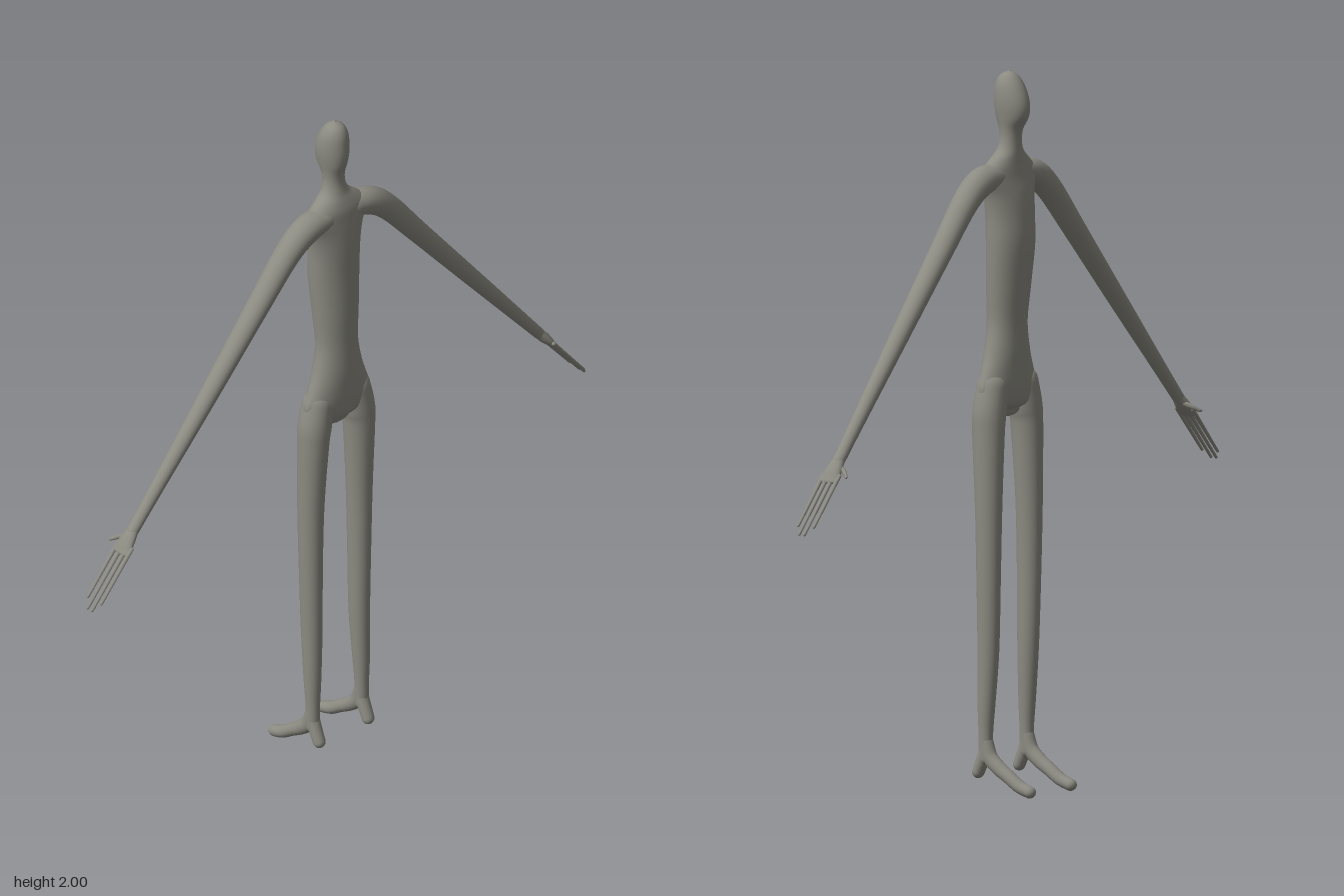
import * as THREE from 'three';

const skin = new THREE.MeshStandardMaterial({ color: 0x8c8b82 });
skin.name = 'greySkin';
const X = new THREE.Vector3(1, 0, 0), Z = new THREE.Vector3(0, 0, 1);

// Smooth tube through sections [x, y, z, ra, rb] with rounded ends.
// rb lies along the side axis, ra across it.
function loft(name, sections, side, steps = 6, sides = 24) {
  const path = new THREE.CatmullRomCurve3(sections.map(s => new THREE.Vector3(s[0], s[1], s[2])), false, 'catmullrom');
  const radii = new THREE.CatmullRomCurve3(sections.map(s => new THREE.Vector3(s[3], s[4], 0)), false, 'catmullrom');
  const pos = [], index = [];
  let rings = 0;
  const ring = (u, scale, shift) => {
    const t = path.getTangent(u), c = path.getPoint(u), r = radii.getPoint(u);
    c.addScaledVector(t, shift * Math.min(r.x, r.y));
    const a = new THREE.Vector3().crossVectors(side, t).normalize();
    for (let j = 0; j < sides; j++) {
      const w = j / sides * Math.PI * 2;
      const p = c.clone().addScaledVector(a, Math.cos(w) * r.x * scale).addScaledVector(side, Math.sin(w) * r.y * scale);
      pos.push(p.x, p.y, p.z);
    }
    rings++;
  };
  const cap = 5, n = (sections.length - 1) * steps;
  for (let k = cap; k > 0; k--) ring(0, Math.cos(k / cap * Math.PI / 2), -Math.sin(k / cap * Math.PI / 2));
  for (let i = 0; i <= n; i++) ring(i / n, 1, 0);
  for (let k = 1; k <= cap; k++) ring(1, Math.cos(k / cap * Math.PI / 2), Math.sin(k / cap * Math.PI / 2));
  for (let i = 0; i < rings - 1; i++) for (let j = 0; j < sides; j++) {
    const p = i * sides + j, q = i * sides + (j + 1) % sides;
    index.push(p, q, q + sides, p, q + sides, p + sides);
  }
  const g = new THREE.BufferGeometry();
  g.setAttribute('position', new THREE.Float32BufferAttribute(pos, 3));
  g.setIndex(index);
  g.computeVertexNormals();
  const mesh = new THREE.Mesh(g, skin);
  mesh.name = name;
  return mesh;
}

export function createModel() {
  const model = new THREE.Group();
  model.name = 'slenderFigure';

  // Pelvis, waist, chest, neck and head in one skin: [y, half width, z centre, half depth]
  const trunk = [
    [1.062, 0.05, 0.056, 0.022], [1.08, 0.098, 0.056, 0.04], [1.12, 0.118, 0.057, 0.047], [1.17, 0.101, 0.058, 0.049],
    [1.22, 0.083, 0.058, 0.05], [1.30, 0.067, 0.057, 0.049], [1.40, 0.072, 0.052, 0.055], [1.52, 0.08, 0.045, 0.06],
    [1.60, 0.083, 0.047, 0.058], [1.66, 0.092, 0.05, 0.053], [1.70, 0.108, 0.053, 0.047], [1.73, 0.105, 0.054, 0.043],
    [1.755, 0.076, 0.052, 0.038], [1.78, 0.044, 0.048, 0.033], [1.81, 0.033, 0.045, 0.03], [1.84, 0.033, 0.043, 0.034],
    [1.87, 0.038, 0.039, 0.048], [1.90, 0.042, 0.039, 0.053], [1.93, 0.0425, 0.042, 0.05], [1.96, 0.038, 0.047, 0.042],
    [1.982, 0.028, 0.05, 0.03], [1.993, 0.016, 0.05, 0.017], [1.998, 0.004, 0.05, 0.004],
  ];
  model.add(loft('torsoAndHead', trunk.map(([y, w, z, d]) => [0, y, z, w, d]), Z, 4, 36));

  for (const s of [1, -1]) {
    const label = s > 0 ? 'left' : 'right';

    // Arm, curving out of the shoulder
    const arm = new THREE.Group();
    arm.name = label + 'Arm';
    arm.add(loft('armLimb', [
      [0.05 * s, 1.715, 0.056, 0.035, 0.04], [0.12 * s, 1.70, 0.058, 0.04, 0.041], [0.19 * s, 1.65, 0.058, 0.036, 0.038],
      [0.30 * s, 1.527, 0.057, 0.031, 0.034], [0.50 * s, 1.301, 0.056, 0.025, 0.027], [0.68 * s, 1.098, 0.054, 0.019, 0.02],
      [0.765 * s, 1.002, 0.053, 0.016, 0.018],
    ], Z));

    // Palm, four fingers and thumb
    arm.add(loft('palm', [
      [0.76 * s, 1.008, 0.053, 0.014, 0.017], [0.785 * s, 0.98, 0.053, 0.015, 0.026], [0.808 * s, 0.953, 0.054, 0.008, 0.031],
    ], Z, 5, 20));
    [[0.027, 0.908], [0.046, 0.926], [0.064, 0.926], [0.081, 0.908]].forEach(([z, tip], i) => {
      const y = 0.953 - (tip - 0.808) * 1.14;
      arm.add(loft('finger' + (i + 1), [
        [0.795 * s, 0.968, z, 0.006, 0.007], [0.85 * s, 0.905, z, 0.005, 0.0055], [tip * s, y, z, 0.004, 0.004],
      ], Z, 4, 10));
    });
    arm.add(loft('thumb', [
      [0.77 * s, 0.99, 0.045, 0.008, 0.008], [0.781 * s, 0.978, 0.02, 0.007, 0.007], [0.796 * s, 0.967, 0.001, 0.005, 0.005],
    ], X, 4, 10));
    model.add(arm);

    // Leg
    const leg = new THREE.Group();
    leg.name = label + 'Leg';
    leg.add(loft('legLimb', [
      [0.068, 1.13, 0.056, 0.045, 0.043], [0.081, 1.06, 0.056, 0.048, 0.047], [0.0865, 1.0, 0.055, 0.0435, 0.046],
      [0.091, 0.8, 0.051, 0.036, 0.039], [0.091, 0.6, 0.051, 0.0315, 0.035], [0.0895, 0.4, 0.053, 0.0285, 0.031],
      [0.0915, 0.25, 0.058, 0.024, 0.025], [0.092, 0.17, 0.06, 0.02, 0.0205], [0.092, 0.1, 0.06, 0.019, 0.02],
    ].map(([x, ...rest]) => [x * s, ...rest]), Z));

    // Heel spur and the long foot sloping down to the toes
    leg.add(loft('heel', [
      [0.092 * s, 0.13, 0.058, 0.018, 0.019], [0.092 * s, 0.09, 0.073, 0.018, 0.019], [0.092 * s, 0.06, 0.086, 0.017, 0.018],
    ], X, 5, 20));
    leg.add(loft('foot', [
      [0.092 * s, 0.15, 0.058, 0.018, 0.019], [0.092 * s, 0.105, 0.045, 0.022, 0.02], [0.092 * s, 0.077, 0.015, 0.021, 0.02],
      [0.092 * s, 0.055, -0.02, 0.019, 0.02], [0.092 * s, 0.031, -0.058, 0.018, 0.02], [0.092 * s, 0.019, -0.092, 0.017, 0.018],
    ], X, 6, 20));
    model.add(leg);
  }
  return model;
}
